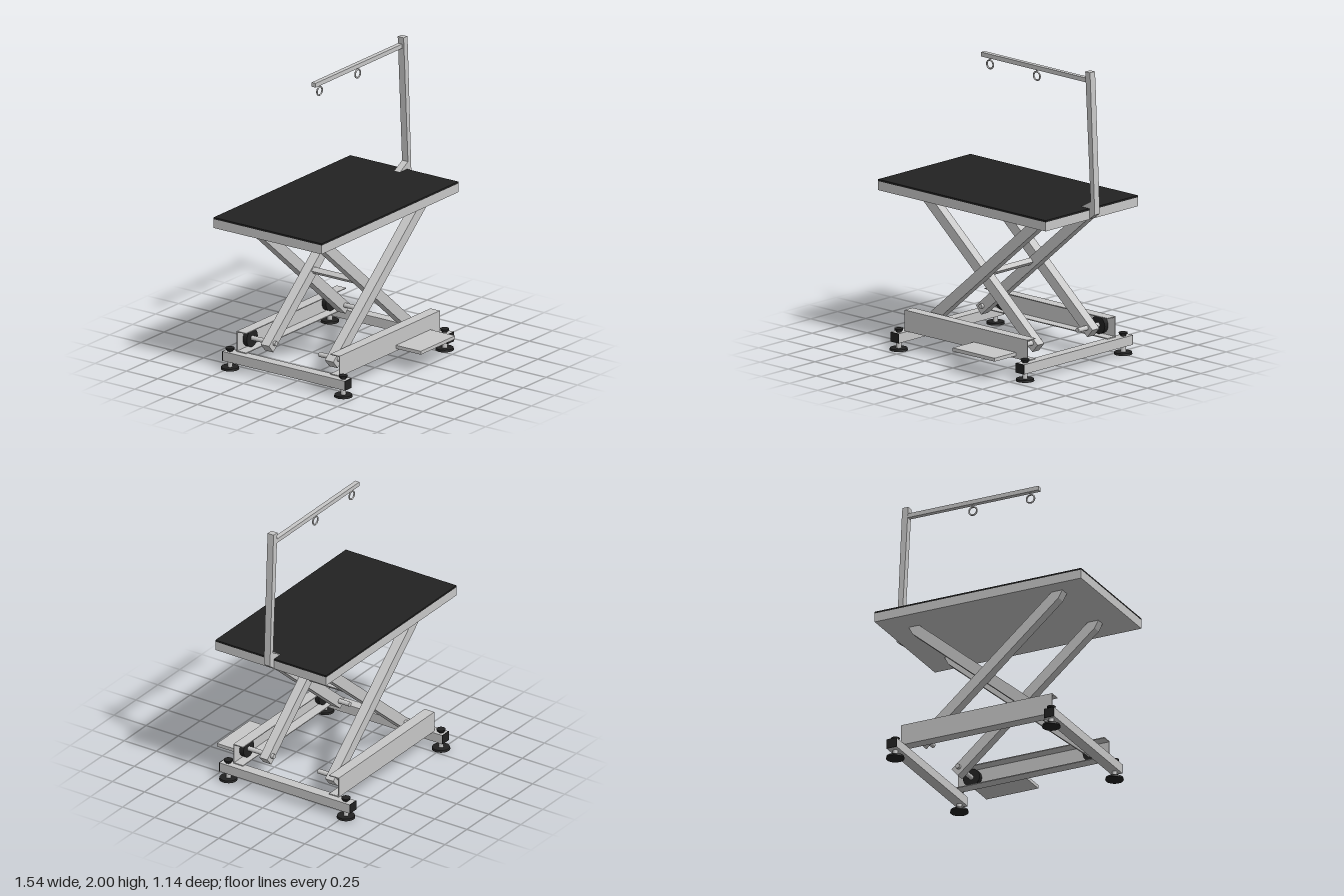
import * as THREE from 'three';

export function createModel() {
  const model = new THREE.Group();
  const steel = new THREE.MeshStandardMaterial({ color: 0xc8c8c8 });
  steel.name = 'light grey steel';
  const rubber = new THREE.MeshStandardMaterial({ color: 0x222222 });
  rubber.name = 'black rubber';

  const add = (name, geometry, material, parent = model) => {
    const mesh = new THREE.Mesh(geometry, material);
    mesh.name = name;
    parent.add(mesh);
    return mesh;
  };
  // Box given by its limits on each axis
  const box = (name, material, [x0, x1], [y0, y1], [z0, z1], parent) => {
    const mesh = add(name, new THREE.BoxGeometry(x1 - x0, y1 - y0, z1 - z0), material, parent);
    mesh.position.set((x0 + x1) / 2, (y0 + y1) / 2, (z0 + z1) / 2);
    return mesh;
  };
  // Side profile in x,y extruded between two z values
  const slab = (name, points, z0, z1, parent) => {
    const shape = new THREE.Shape(points.map(([x, y]) => new THREE.Vector2(x, y)));
    const geometry = new THREE.ExtrudeGeometry(shape, { depth: z1 - z0, bevelEnabled: false });
    geometry.translate(0, 0, z0);
    return add(name, geometry, steel, parent);
  };
  // Round bar along z
  const zBar = (name, material, radius, x, y, z0, z1, parent) => {
    const geometry = new THREE.CylinderGeometry(radius, radius, Math.abs(z1 - z0), 24);
    geometry.rotateX(Math.PI / 2);
    const mesh = add(name, geometry, material, parent);
    mesh.position.set(x, y, (z0 + z1) / 2);
    return mesh;
  };

  // Table top with its rubber mat
  box('tableTop', steel, [-0.77, 0.718], [1.022, 1.082], [-0.473, 0.39]);
  box('tableMat', rubber, [-0.77, 0.718], [1.082, 1.094], [-0.473, 0.39]);

  // Scissor arms: one pair rises to +x, the other to -x
  const risingRight = [[-0.447, 0.13], [0.535, 0.972], [0.56, 1.024], [0.486, 1.024], [-0.493, 0.184]];
  const risingLeft = [[0.432, 0.13], [0.478, 0.184], [-0.505, 1.024], [-0.582, 1.024], [-0.553, 0.972]];
  slab('frontOuterArm', risingRight, 0.212, 0.28);
  slab('frontInnerArm', risingLeft, 0.15, 0.212);
  slab('backInnerArm', risingRight, -0.3, -0.233);
  slab('backOuterArm', risingLeft, -0.366, -0.3);
  const spacer = box('crossBar', steel, [-0.026, 0.008], [0.55, 0.584], [-0.235, 0.152]);
  spacer.rotation.z = Math.PI / 4;

  // Channels open inward, each holding two rollers on short axles
  const channels = [
    { name: 'front', wall: 0.372, inner: 0.297, axleEnd: 0.13 },
    { name: 'back', wall: -0.45, inner: -0.375, axleEnd: -0.215 },
  ];
  for (const { name, wall, inner, axleEnd } of channels) {
    const side = Math.sign(wall);
    const group = new THREE.Group();
    group.name = name + 'Channel';
    model.add(group);
    const span = [-0.55, 0.54];
    const skin = 0.006;
    const depth = [Math.min(wall, inner), Math.max(wall, inner)];
    const web = [wall - side * skin, wall].sort((a, b) => a - b);
    box('channelWall', steel, span, [0.12, 0.26], web, group);
    box('topFlange', steel, span, [0.26 - skin, 0.26], depth, group);
    box('bottomFlange', steel, span, [0.12, 0.12 + skin], depth, group);
    for (const x of [-0.437, 0.425]) {
      zBar('roller', rubber, 0.06, x, 0.19, wall - side * 0.01, wall - side * 0.042, group);
      zBar('axle', steel, 0.016, x, 0.19, wall - side * 0.04, axleEnd, group);
    }
  }

  // Cross rails with end caps and levelling feet
  const footPart = (name, material, radiusTop, radiusBottom, y0, y1, parent) => {
    const geometry = new THREE.CylinderGeometry(radiusTop, radiusBottom, y1 - y0, 28);
    add(name, geometry, material, parent).position.y = (y0 + y1) / 2;
  };
  const rails = [
    { name: 'rightRail', x: -0.565, back: -0.528, feet: [-0.492, 0.412] },
    { name: 'leftRail', x: 0.549, back: -0.568, feet: [-0.512, 0.404] },
  ];
  for (const { name, x, back, feet } of rails) {
    const width = [x - 0.036, x + 0.036];
    box(name, steel, width, [0.056, 0.12], [back + 0.005, 0.447]);
    box('railCap', rubber, width, [0.056, 0.12], [0.447, 0.453]);
    box('railCap', rubber, width, [0.056, 0.12], [back, back + 0.005]);
    for (const z of feet) {
      const foot = new THREE.Group();
      foot.name = 'levellingFoot';
      foot.position.set(x, 0, z);
      model.add(foot);
      footPart('footPad', rubber, 0.057, 0.06, 0, 0.014, foot);
      footPart('footStem', steel, 0.017, 0.017, 0.014, 0.056, foot);
      footPart('knobNeck', rubber, 0.018, 0.018, 0.12, 0.131, foot);
      footPart('knob', rubber, 0.029, 0.027, 0.131, 0.143, foot);
    }
  }

  // Foot pedal
  box('footPedal', steel, [0.063, 0.437], [0.137, 0.16], [0.366, 0.57]);

  // Mast with its angled foot, and the boom that carries two rings
  slab('mast', [[0.717, 1.024], [0.765, 1.06], [0.727, 1.923], [0.722, 2],
    [0.68, 2], [0.685, 1.923], [0.728, 1.14]], -0.067, -0.02);
  slab('mastFoot', [[0.632, 1.088], [0.72, 1.03], [0.745, 1.1], [0.728, 1.142]], -0.067, -0.02);
  box('boom', steel, [-0.257, 0.7], [1.925, 1.954], [-0.066, -0.034]);
  for (const x of [-0.193, 0.222]) {
    const ring = add('hangingRing', new THREE.TorusGeometry(0.028, 0.0055, 10, 32), steel);
    ring.position.set(x, 1.881, -0.05);
    const link = add('ringLink', new THREE.CylinderGeometry(0.005, 0.005, 0.02, 10), steel);
    link.position.set(x, 1.918, -0.05);
  }
  return model;
}
